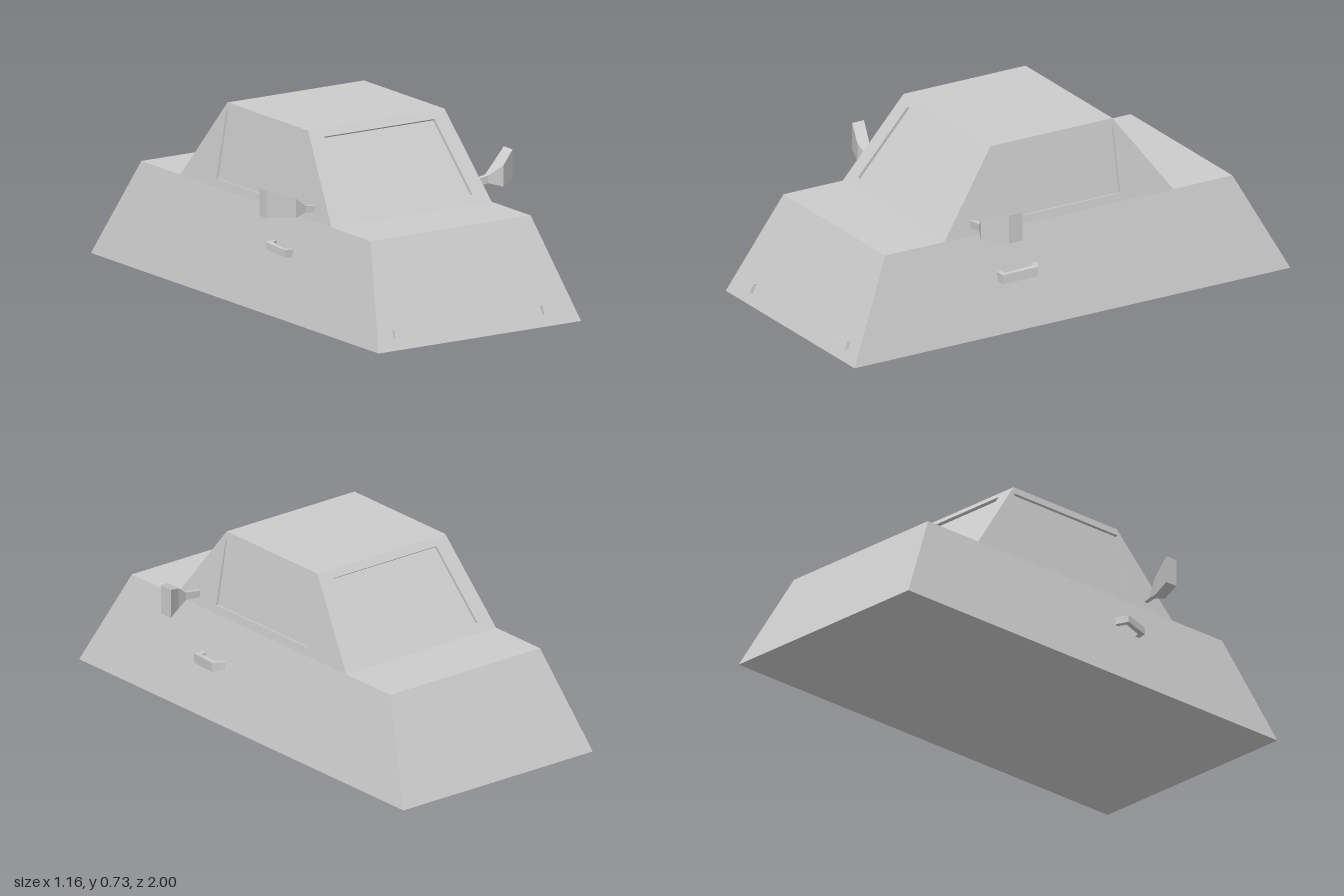
import * as THREE from 'three';

const grey = new THREE.MeshStandardMaterial({ color: 0xcccccc, flatShading: true });

// Flat-shaded mesh from quads, each listed counter-clockwise from outside
function quadMesh(name, quads) {
  const pos = quads.flatMap(([a, b, c, d]) => [a, b, c, a, c, d]).flat();
  const geo = new THREE.BufferGeometry();
  geo.setAttribute('position', new THREE.Float32BufferAttribute(pos, 3));
  geo.computeVertexNormals();
  const mesh = new THREE.Mesh(geo, grey);
  mesh.name = name;
  return mesh;
}

// Quads joining two four-cornered rings
const band = (p, q) => p.map((a, i) => [a, p[(i + 1) % 4], q[(i + 1) % 4], q[i]]);

// Closed solid through a run of four-cornered rings
function loft(name, rings) {
  let quads = [[...rings[0]].reverse(), rings[rings.length - 1]];
  for (let i = 1; i < rings.length; i++) quads.push(...band(rings[i - 1], rings[i]));
  // Turn the faces outward when the enclosed volume is negative
  const V = (p) => new THREE.Vector3(...p);
  const vol = quads.reduce((s, [a, b, c, d]) =>
    s + V(a).dot(V(b).cross(V(c))) + V(a).dot(V(c).cross(V(d))), 0);
  if (vol < 0) quads = quads.map((q) => [...q].reverse());
  return quadMesh(name, quads);
}

// Horizontal rectangle ring
const rect = (x, z, y) => [[-x, y, z], [x, y, z], [x, y, -z], [-x, y, -z]];

// Bent bar; each section is [xa, za, xb, zb, yLow, yHigh]
const bar = (name, sections) => loft(name, sections.map(([xa, za, xb, zb, y0, y1]) =>
  [[xa, y0, za], [xb, y0, zb], [xb, y1, zb], [xa, y1, za]]));

// Wall with a sunken window; corners run counter-clockwise from outside
function windowWall(name, outer, opening, depth) {
  const [a, b, , d] = outer.map((p) => new THREE.Vector3(...p));
  const n = b.sub(a).cross(d.sub(a)).normalize().multiplyScalar(-depth);
  const pane = opening.map(([x, y, z]) => [x + n.x, y + n.y, z + n.z]);
  const wall = new THREE.Group();
  wall.name = name;
  wall.add(quadMesh('windowFrame', [...band(outer, opening), ...band(opening, pane)]));
  wall.add(quadMesh('windowPane', [pane]));
  return wall;
}

export function createModel() {
  const car = new THREE.Group();
  car.name = 'car';

  // Body and cabin sit slightly off centre
  const shell = new THREE.Group();
  shell.name = 'shell';
  shell.position.x = -0.012;
  car.add(shell);
  shell.add(loft('body', [rect(0.4775, 1, 0), rect(0.3775, 0.797, 0.397)]));

  // Cabin: roof and four walls
  const low = rect(0.3775, 0.525, 0.397), high = rect(0.322, 0.28, 0.729);
  shell.add(quadMesh('roof', [high]));
  const slant = (lo, hi, y) => lo + (hi - lo) * (y - 0.397) / 0.332;
  const y0 = 0.43, y1 = 0.7;
  const zAt = (y) => slant(0.525, 0.28, y), xAt = (y) => slant(0.3775, 0.322, y);
  for (const [i, end] of ['front', 'rear'].entries()) {
    const wall = windowWall(end + 'Wall', [low[0], low[1], high[1], high[0]], [
      [-0.304, y0, zAt(y0)], [0.304, y0, zAt(y0)], [0.26, y1, zAt(y1)], [-0.26, y1, zAt(y1)]], 0.012);
    wall.rotation.y = i * Math.PI;
    shell.add(wall);
  }
  for (const [i, side] of ['left', 'right'].entries()) {
    const wall = windowWall(side + 'Wall', [low[1], low[2], high[2], high[1]], [
      [xAt(y0), y0, 0.285], [xAt(y0), y0, -0.285], [xAt(y1), y1, -0.28], [xAt(y1), y1, 0.285]], 0.012);
    wall.rotation.y = i * Math.PI;
    shell.add(wall);
  }

  // Headlights: slanted blocks raised from the nose
  for (const [side, s] of [['left', 1], ['right', -1]]) {
    const face = (dy, dz) => [
      [s * 0.31, 0.046 + dy, 0.977 + dz], [s * 0.393, 0.046 + dy, 0.977 + dz],
      [s * 0.387, 0.079 + dy, 0.96 + dz], [s * 0.312, 0.079 + dy, 0.96 + dz]];
    shell.add(loft(side + 'Headlight', [face(-0.005, -0.01), face(0, 0.016)]));
  }

  // Wing mirrors: thin stem flaring into an angled head
  car.add(bar('leftMirror', [
    [0.345, 0.387, 0.345, 0.403, 0.427, 0.455],
    [0.43, 0.384, 0.43, 0.406, 0.438, 0.469],
    [0.485, 0.363, 0.485, 0.432, 0.422, 0.508],
    [0.577, 0.298, 0.577, 0.36, 0.427, 0.545]]));
  car.add(bar('rightMirror', [
    [-0.37, 0.383, -0.37, 0.399, 0.43, 0.455],
    [-0.425, 0.375, -0.425, 0.395, 0.436, 0.463],
    [-0.475, 0.352, -0.475, 0.405, 0.423, 0.5],
    [-0.583, 0.308, -0.583, 0.362, 0.427, 0.539]]));

  // Door handles: bent brackets
  car.add(bar('leftHandle', [
    [0.405, 0.29, 0.408, 0.31, 0.202, 0.24],
    [0.432, 0.29, 0.45, 0.31, 0.202, 0.24],
    [0.453, 0.178, 0.477, 0.165, 0.215, 0.254],
    [0.421, 0.155, 0.433, 0.138, 0.222, 0.253]]));
  car.add(bar('rightHandle', [
    [-0.42, 0.287, -0.42, 0.308, 0.236, 0.27],
    [-0.445, 0.287, -0.462, 0.308, 0.242, 0.272],
    [-0.456, 0.215, -0.48, 0.203, 0.256, 0.285],
    [-0.425, 0.195, -0.433, 0.178, 0.253, 0.284]]));

  return car;
}
